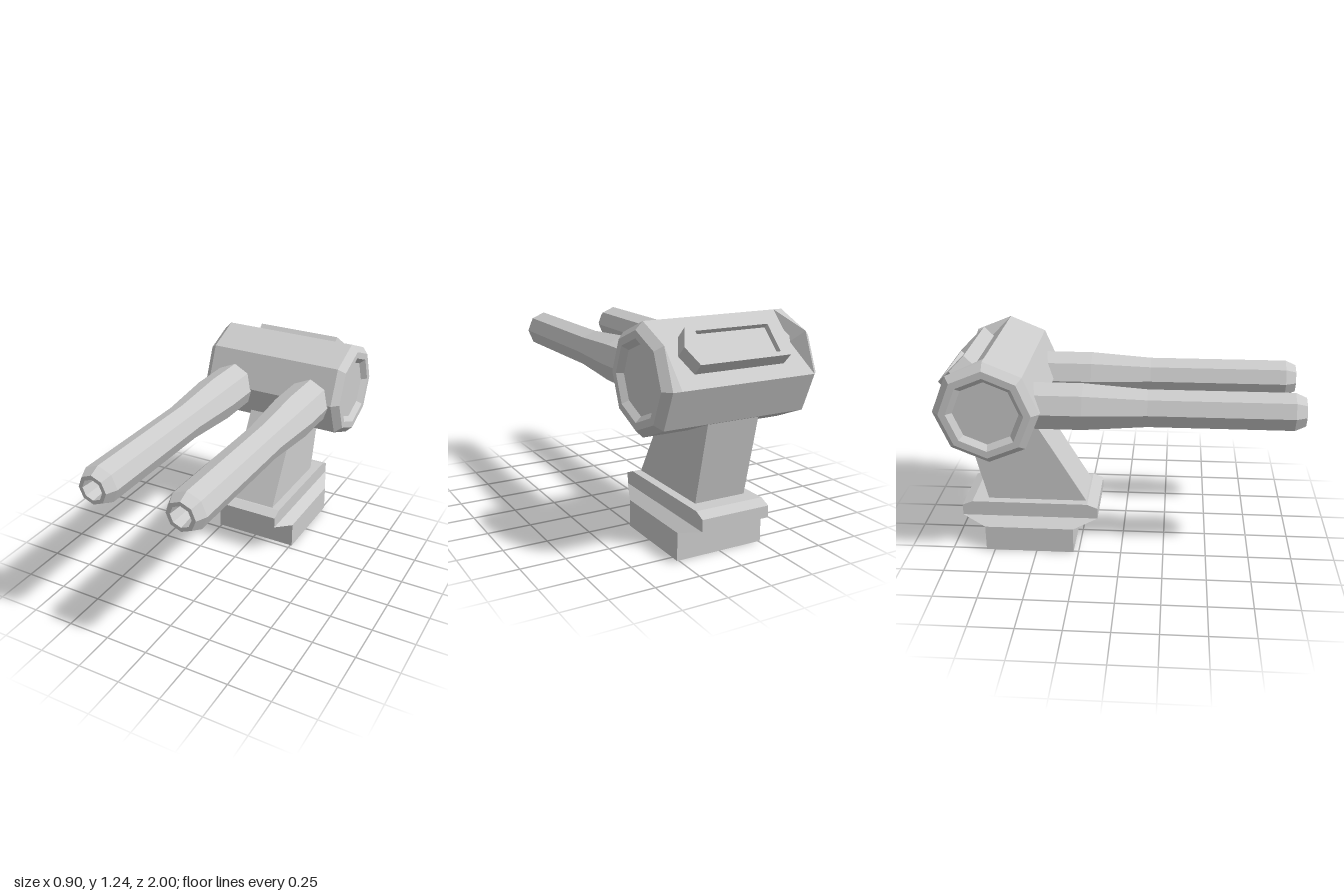
import * as THREE from 'three';

const material = new THREE.MeshStandardMaterial({ color: 0xcccccc, flatShading: true });

function mesh(name, geometry) {
  const m = new THREE.Mesh(geometry, material);
  m.name = name;
  return m;
}

// Skins a list of rings (counter-clockwise about the direction of travel) and caps both ends.
function loft(rings) {
  const pos = [];
  const n = rings[0].length;
  const tri = (...pts) => pts.forEach((p) => pos.push(...p));
  for (let s = 0; s < rings.length - 1; s++) {
    for (let i = 0; i < n; i++) {
      const j = (i + 1) % n;
      const [a, b, c, d] = [rings[s][i], rings[s][j], rings[s + 1][j], rings[s + 1][i]];
      tri(a, b, c);
      tri(a, c, d);
    }
  }
  const first = rings[0], last = rings[rings.length - 1];
  for (let i = 1; i < n - 1; i++) {
    tri(first[0], first[i + 1], first[i]);
    tri(last[0], last[i], last[i + 1]);
  }
  const g = new THREE.BufferGeometry();
  g.setAttribute('position', new THREE.Float32BufferAttribute(pos, 3));
  g.computeVertexNormals();
  return g;
}

// Eight angles, the first pointing straight up
const octagon = Array.from({ length: 8 }, (_, i) => (i * Math.PI) / 4);

// Stepped base: each row is height, half width, front z, back z
function createBase() {
  const rows = [
    [0, 0.26, -0.28, -0.8],
    [0.155, 0.26, -0.28, -0.8],
    [0.2, 0.2, -0.14, -0.94],
    [0.265, 0.2, -0.14, -0.94],
    [0.29, 0.2, -0.2, -0.88],
  ];
  return mesh('base', loft(rows.map(([y, w, f, b]) => [[w, y, f], [w, y, b], [-w, y, b], [-w, y, f]])));
}

// Leaning neck between base and head
function createNeck() {
  const rows = [[0.28, -0.204, -0.788], [0.85, -0.535, -0.922]];
  const w = 0.15;
  return mesh('neck', loft(rows.map(([y, f, b]) => [[w, y, f], [w, y, b], [-w, y, b], [-w, y, f]])));
}

// Eight-sided drum with bevelled, dished ends and a flattened upper back
function createHead() {
  const half = [[0.36, 0.29, 0.205], [0.41, 0.29], [0.45, 0.25], [0.45, 0.21], [0.42, 0.18]];
  const sections = [...half.map(([x, ...r]) => [-x, ...r]).reverse(), ...half];
  const rings = sections.map(([x, r, backRadius = r]) =>
    octagon.map((a, i) => {
      const q = i === 7 ? backRadius : r;
      return [x, 0.95 + q * Math.cos(a), -0.71 + q * Math.sin(a)];
    }));
  return mesh('head', loft(rings));
}

// Tapered barrel with a hollow muzzle
function createBarrel(name, x) {
  const profile = [
    [-0.58, 0.137], [-0.2, 0.137], [0.15, 0.11], [0.94, 0.11],
    [1, 0.083], [1, 0.06], [0.88, 0.05],
  ];
  const rings = profile.map(([z, r]) =>
    octagon.map((a) => [x - r * Math.sin(a), 0.937 + r * Math.cos(a), z]));
  return mesh(name, loft(rings));
}

// Raised hexagonal frame with a sunken window on the upper back
function createRearPanel() {
  const panel = new THREE.Group();
  panel.name = 'rearPanel';
  const [w, tip, h] = [0.26, 0.305, 0.108];
  const shape = new THREE.Shape(
    [[-w, -h], [w, -h], [tip, 0], [w, h], [-w, h], [-tip, 0]].map(([x, y]) => new THREE.Vector2(x, y)));
  const [hw, hh] = [0.21, 0.083];
  shape.holes.push(new THREE.Path(
    [[-hw, -hh], [-hw, hh], [hw, hh], [hw, -hh]].map(([x, y]) => new THREE.Vector2(x, y))));
  panel.add(mesh('panelFrame', new THREE.ExtrudeGeometry(shape, { depth: 0.085, bevelEnabled: false })));
  const floor = mesh('panelWindow', new THREE.BoxGeometry(2 * hw, 2 * hh, 0.055));
  floor.position.z = 0.0275;
  panel.add(floor);
  panel.position.set(0, 1.08, -0.86);
  panel.lookAt(0, 2.08, -1.86);
  return panel;
}

export function createModel() {
  const model = new THREE.Group();
  model.name = 'twinBarrelTurret';
  model.add(
    createBase(),
    createNeck(),
    createHead(),
    createBarrel('leftBarrel', 0.255),
    createBarrel('rightBarrel', -0.255),
    createRearPanel(),
  );
  return model;
}
